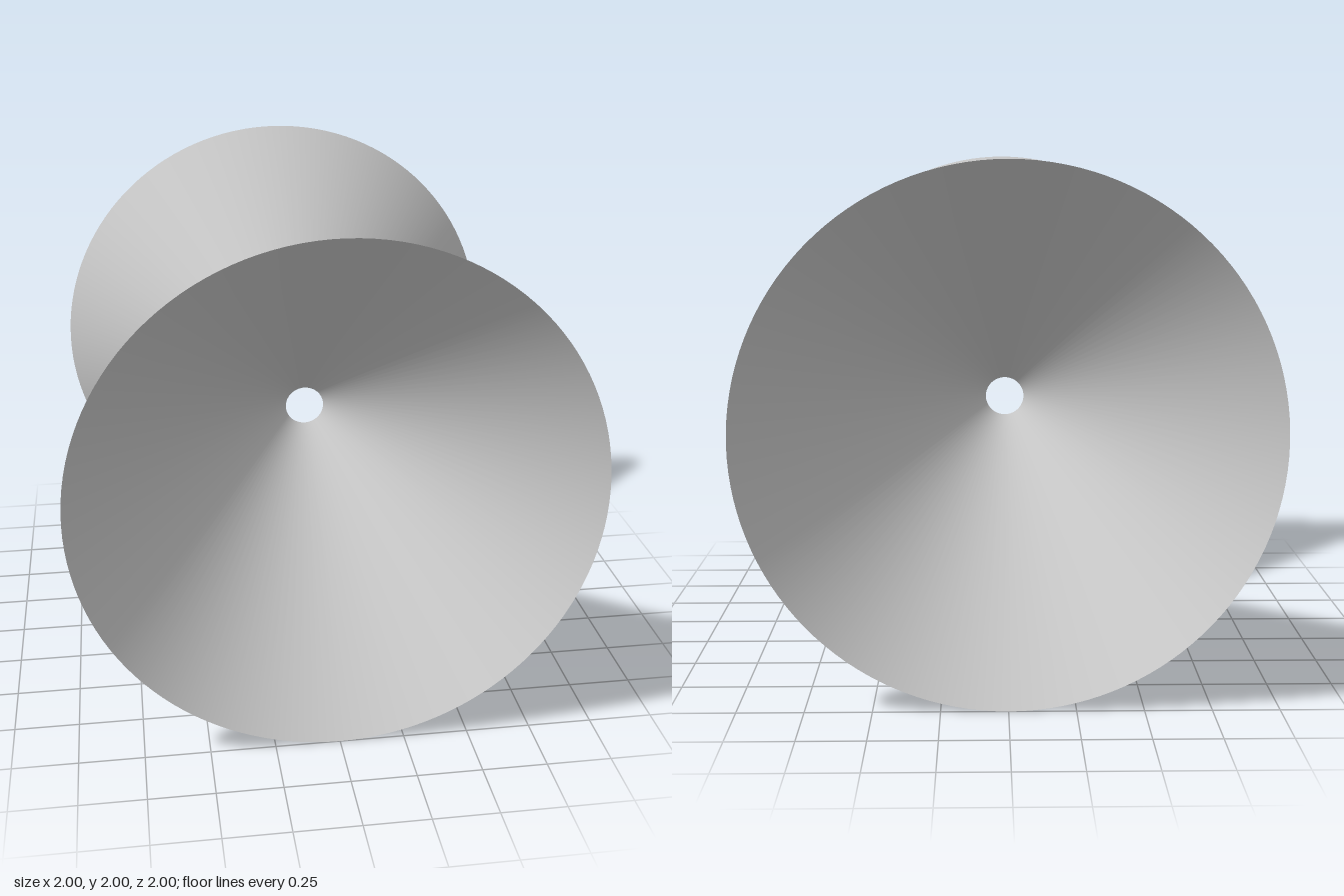
import * as THREE from 'three';

const RIM = 1, THROAT = 0.08, DEPTH = 1, SIDES = 128;

export function createModel() {
  const model = new THREE.Group();
  model.name = 'doubleCone';
  const material = new THREE.MeshStandardMaterial({ color: 0xcccccc, side: THREE.DoubleSide });

  // Open thin funnel, wide at the front, narrow at the throat on z = 0
  const funnel = new THREE.CylinderGeometry(RIM, THROAT, DEPTH, SIDES, 1, true);
  funnel.rotateX(Math.PI / 2);
  funnel.translate(0, 0, DEPTH / 2);

  // Two funnels back to back, sharing the open throat
  for (const [name, turn] of [['frontFunnel', 0], ['backFunnel', Math.PI]]) {
    const mesh = new THREE.Mesh(funnel, material);
    mesh.name = name;
    mesh.position.y = RIM;
    mesh.rotation.y = turn;
    model.add(mesh);
  }
  return model;
}
